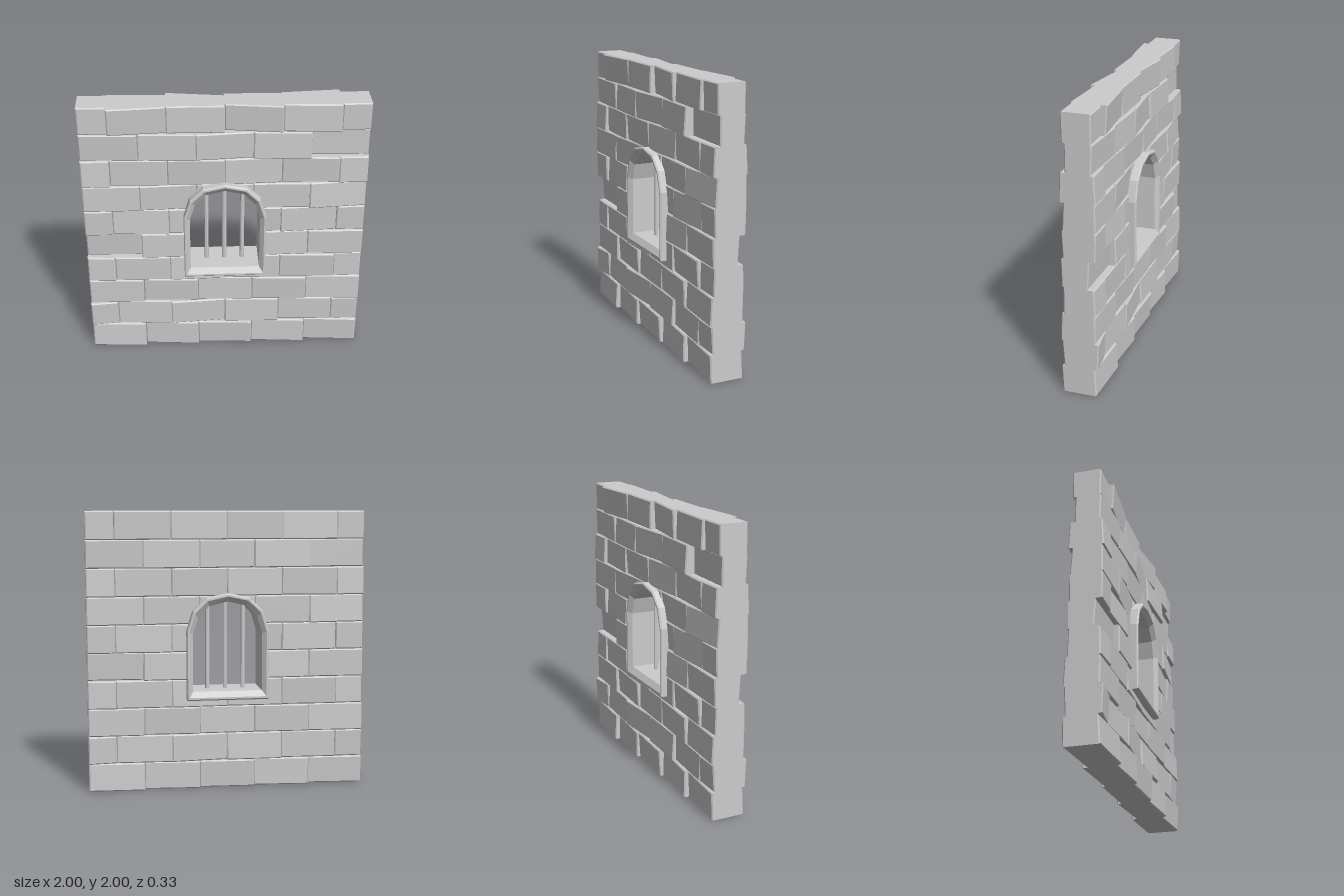
import * as THREE from 'three';

const material = new THREE.MeshStandardMaterial({ color: 0xcccccc, flatShading: true });
const H = 0.2, BEVEL = 0.008;

// Face depth (hundredths) at the left and right edge of every brick, row by row from the ground.
const rows = [
  [11, 13, 10, 13, 11, 13, 10, 13, 10, 13],
  [13, 11, 10, 12, 13, 10, 11, 12, 10, 12, 12, 12],
  [11, 12, 10, 12, 10, 11, 11, 13, 11, 13],
  [11, 12, 11, 12, 12, 11, 11, 12, 11, 13, 11, 11],
  [7, 8, 12, 12, 11, 11, 12, 11, 11, 12],
  [12, 12, 10, 12, 11, 11, 11, 11, 12, 10, 11, 11],
  [12, 12, 12, 10, 11, 12, 11, 12, 13, 10],
  [12, 12, 10, 12, 11, 12, 12, 10, 10, 12, 12, 12],
  [10, 12, 11, 13, 13, 10, 11, 13, 7, 8],
  [10, 10, 13, 10, 10, 10.5, 7, 12.5, 10, 12, 10, 10],
];

// Brick outlines cut by the window, for the +x side, keyed by row and left edge.
const cuts = {
  '3,0': [[0, .6], [.4, .6], [.4, .8], [.27, .8], [.27, .68], [0, .68]],
  '4,0.2': [[.27, .8], [.6, .8], [.6, 1], [.27, 1]],
  '5,0': [[.27, 1], [.4, 1], [.4, 1.2], [.27, 1.2]],
  '6,0.2': [[.27, 1.2], [.6, 1.2], [.6, 1.4], [.2, 1.4], [.2, 1.3], [.23, 1.27]],
};
const archCorner = [[.2, 1.3], [.2, 1.4], [.03, 1.4], [.15, 1.355]];

// Bevelled brick whose face is a tilted plane.
function brick(points, x0, x1, y0, left, right, lean) {
  const shape = new THREE.Shape(points.map(p => new THREE.Vector2(...p)));
  const geo = new THREE.ExtrudeGeometry(shape, {
    depth: 0.05, bevelEnabled: true, bevelSize: BEVEL, bevelThickness: BEVEL,
    bevelOffset: -BEVEL, bevelSegments: 1,
  });
  const pos = geo.attributes.position;
  for (let i = 0; i < pos.count; i++) {
    const z = pos.getZ(i);
    if (z < 0.025) { pos.setZ(i, 0); continue; }
    const u = (pos.getX(i) - x0) / (x1 - x0), v = (pos.getY(i) - y0) / H - 0.5;
    pos.setZ(i, z - 0.05 - BEVEL + (left + (right - left) * u) / 100 + lean * v);
  }
  geo.computeVertexNormals();
  const mesh = new THREE.Mesh(geo, material);
  mesh.name = 'brick';
  return mesh;
}

const mirrored = pts => pts.map(([x, y]) => [-x, y]).reverse();

function wallFace() {
  const face = new THREE.Group();
  face.name = 'wallFace';
  rows.forEach((depths, r) => {
    const y = r * H, odd = r % 2;
    for (let i = 0; i < depths.length / 2; i++) {
      const a = +Math.max(-1, -1 + 0.4 * i - 0.2 * odd).toFixed(2);
      const b = +Math.min(1, -0.6 + 0.4 * i - 0.2 * odd).toFixed(2);
      const lean = ((r * 5 + i * 3) % 7 - 3) * 0.004;
      const add = pts => face.add(brick(pts, a, b, y, depths[2 * i], depths[2 * i + 1], lean));
      const right = cuts[`${r},${Math.abs(a)}`], left = cuts[`${r},${Math.abs(b)}`];
      if (a > -0.01 && right) add(right);
      else if (b < 0.01 && left) add(mirrored(left));
      else if (a === -0.2 && r === 6) { add(archCorner); add(mirrored(archCorner)); }
      else if (a === -0.2 && r === 4) continue; // fully inside the window
      else add([[a, y], [b, y], [b, y + H], [a, y + H]]);
    }
  });
  return face;
}

// Window surround: a closed section swept between the outer and inner arch outlines.
function windowFrame() {
  const full = half => [...half, ...mirrored(half.slice(0, -1))];
  const outer = full([[.295, .652], [.295, 1.15], [.25, 1.295], [.155, 1.388], [0, 1.42]]);
  const inner = full([[.25, .715], [.25, 1.13], [.212, 1.25], [.132, 1.33], [0, 1.362]]);
  const section = [[0, -.155], [0, .155], [.15, .165], [.36, .165], [1, .135],
    [1, -.135], [.36, -.165], [.15, -.165]];
  const n = outer.length, m = section.length, verts = [], index = [];
  for (let i = 0; i < n; i++) {
    for (const [t, z] of section) {
      verts.push(outer[i][0] + (inner[i][0] - outer[i][0]) * t,
        outer[i][1] + (inner[i][1] - outer[i][1]) * t, z);
    }
    for (let j = 0; j < m; j++) {
      const k = (j + 1) % m, o = i * m, p = ((i + 1) % n) * m;
      index.push(o + j, p + j, p + k, o + j, p + k, o + k);
    }
  }
  const geo = new THREE.BufferGeometry();
  geo.setAttribute('position', new THREE.Float32BufferAttribute(verts, 3));
  geo.setIndex(index);
  geo.computeVertexNormals();
  const mesh = new THREE.Mesh(geo, material);
  mesh.name = 'windowFrame';
  return mesh;
}

export function createModel() {
  const model = new THREE.Group();
  model.name = 'barredWindowWall';

  // Both faces share one brick layout, turned half way round.
  const front = wallFace(), back = front.clone();
  back.rotation.y = Math.PI;
  model.add(front, back, windowFrame());

  // Window bars
  for (const x of [-0.13, 0, 0.13]) {
    const top = x ? 1.345 : 1.375;
    const bar = new THREE.Mesh(new THREE.CylinderGeometry(0.016, 0.016, top - 0.7, 8), material);
    bar.position.set(x, (top + 0.7) / 2, 0);
    bar.name = 'windowBar';
    model.add(bar);
  }
  return model;
}
